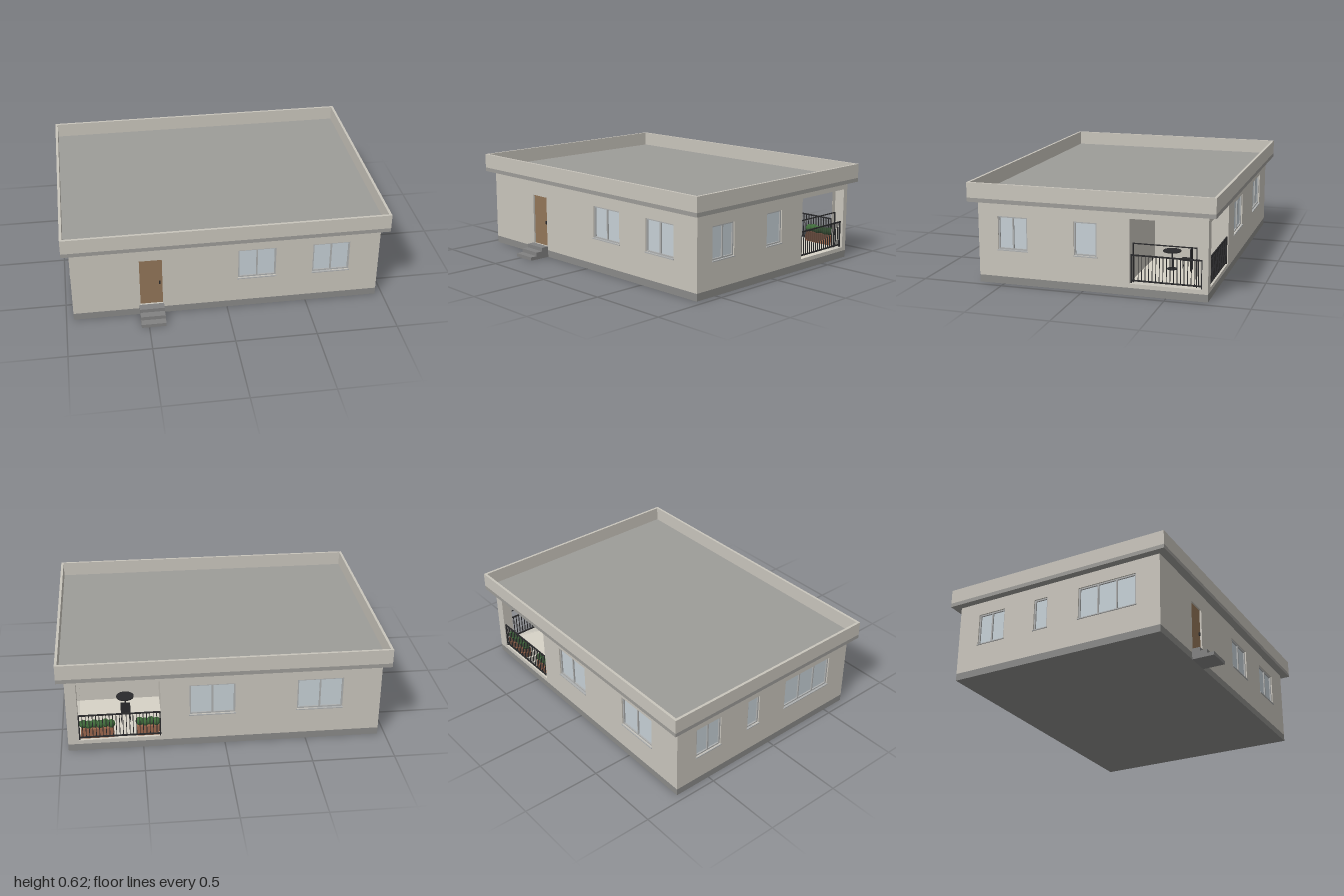
import * as THREE from 'three';

const material = (color) => new THREE.MeshStandardMaterial({ color });
const mats = {
  wall: material(0xc9c5bc), plinth: material(0x8a8a88), roof: material(0x9d9c98), frame: material(0xaeb0b0),
  glass: material(0xc6d0d6), door: material(0x927558), step: material(0x828282), metal: material(0x2a2a2c),
  floor: material(0xd6d2c6), pot: material(0x9c674c), plant: material(0x3f6b3a),
};

// Box given by its minimum and maximum corners
function box(parent, name, mat, [x0, y0, z0], [x1, y1, z1]) {
  const mesh = new THREE.Mesh(new THREE.BoxGeometry(x1 - x0, y1 - y0, z1 - z0), mats[mat]);
  mesh.position.set((x0 + x1) / 2, (y0 + y1) / 2, (z0 + z1) / 2);
  mesh.name = name;
  parent.add(mesh);
  return mesh;
}

// Rectangular plate with rectangular holes, front face at z = 0, going back by depth
function plate(parent, name, mat, [u0, u1, v0, v1], holes, depth) {
  const outline = (P, a, b, c, d) => {
    const p = new P();
    p.moveTo(a, c).lineTo(b, c).lineTo(b, d).lineTo(a, d).closePath();
    return p;
  };
  const shape = outline(THREE.Shape, u0, u1, v0, v1);
  shape.holes = holes.map(([a, b, c, d]) => outline(THREE.Path, a, b, c, d));
  const geometry = new THREE.ExtrudeGeometry(shape, { depth, bevelEnabled: false });
  const mesh = new THREE.Mesh(geometry.translate(0, 0, -depth), mats[mat]);
  mesh.name = name;
  parent.add(mesh);
  return mesh;
}

// Recessed window: frame with equal panes and a glass sheet behind it
function addWindow(wall, [u0, u1, v0, v1], panes) {
  const f = 0.009;
  const w = (u1 - u0 - f) / panes;
  const holes = [];
  for (let i = 0; i < panes; i++) holes.push([u0 + f + i * w, u0 + (i + 1) * w, v0 + f, v1 - f]);
  plate(wall, 'windowFrame', 'frame', [u0, u1, v0, v1], holes, 0.015).position.z = -0.008;
  box(wall, 'windowGlass', 'glass', [u0, v0, -0.024], [u1, v1, -0.017]);
  box(wall, 'windowSill', 'frame', [u0 - 0.004, v0 - 0.006, -0.01], [u1 + 0.004, v0, 0.006]);
}

const SILL = 0.212, HEAD = 0.415, BASE = 0.045, TOP = 0.5, THICK = 0.066;

// One outer wall with its windows [u0, u1, panes] and other openings
function addWall(parent, name, [u0, u1], windows, openings, position, angle) {
  const wall = new THREE.Group();
  wall.name = name;
  const rects = windows.map(([a, b]) => [a, b, SILL, HEAD]);
  plate(wall, name + 'Panel', 'wall', [u0, u1, BASE, TOP], [...rects, ...openings], THICK);
  windows.forEach((w, i) => addWindow(wall, rects[i], w[2]));
  wall.position.set(...position);
  wall.rotation.y = angle;
  parent.add(wall);
  return wall;
}

// Picket railing running along local x from 0 to length
function addRailing(parent, name, length, position, angle) {
  const railing = new THREE.Group();
  railing.name = name;
  const r = 0.004;
  for (const y of [0.085, 0.237]) box(railing, 'rail', 'metal', [0, y - r, -r], [length, y + r, r]);
  const count = Math.round(length / 0.021);
  for (let i = 0; i <= count; i++) {
    const x = (i / count) * (length - 0.01) + 0.005;
    const t = i % count ? 0.0022 : 0.004;
    box(railing, 'picket', 'metal', [x - t, i % count ? 0.085 : 0.07, -t], [x + t, 0.237, t]);
  }
  railing.position.set(...position);
  railing.rotation.y = angle;
  parent.add(railing);
}

export function createModel() {
  const house = new THREE.Group();
  house.name = 'house';
  const X = 0.955, ZB = -0.745, ZF = 0.655;

  // Plinth and outer walls; side walls run the full depth
  box(house, 'plinth', 'plinth', [-X, 0, ZB], [X, BASE, ZF]);
  const doorHole = [-0.54, -0.4, 0.07, 0.395];
  const inner = X - THICK;
  const front = addWall(house, 'frontWall', [-inner, inner], [[0.068, 0.305, 2], [0.535, 0.768, 2]],
    [doorHole], [0, 0, ZF], 0);
  addWall(house, 'leftWall', [-ZF, -ZB], [[-0.53, -0.345, 2], [-0.055, 0.085, 1]],
    [[0.283, 0.71, 0.07, 0.455]], [X, 0, 0], Math.PI / 2);
  addWall(house, 'backWall', [-inner, inner], [[-0.215, 0.062, 2], [0.44, 0.722, 2]],
    [[-inner + 0.001, -0.39, 0.07, 0.455]], [0, 0, ZB], Math.PI);
  addWall(house, 'rightWall', [ZB, ZF], [[-0.6, -0.41, 2], [-0.195, -0.1, 1], [0.116, 0.5, 3]],
    [], [-X, 0, 0], -Math.PI / 2);

  // Front door and steps
  box(front, 'door', 'door', [-0.54, 0.07, -0.03], [-0.4, 0.395, -0.012]);
  box(front, 'doorHandle', 'metal', [-0.422, 0.215, -0.012], [-0.412, 0.235, -0.004]);
  [[0.705, 0.07], [0.75, 0.046], [0.795, 0.022]].forEach(([z, y], i) =>
    box(house, 'step', 'step', [-0.547, 0, i ? ZF + 0.049 * i - 0.004 : ZF], [-0.395, y, z]));

  // Roof slab and hollow parapet
  box(house, 'roofSlab', 'roof', [-1, TOP, -0.795], [1, 0.525, 0.705]);
  const parapet = plate(house, 'parapet', 'wall', [-1, 1, -0.705, 0.795],
    [[-0.984, 0.984, -0.689, 0.779]], 0.092);
  parapet.rotation.x = -Math.PI / 2;
  parapet.position.y = 0.617;

  // Corner terrace: floor and inner walls
  const terrace = new THREE.Group();
  terrace.name = 'terrace';
  house.add(terrace);
  box(terrace, 'terraceFloor', 'floor', [0.36, BASE, ZB + 0.004], [X - 0.004, 0.07, -0.27]);
  box(terrace, 'terraceSideWall', 'wall', [0.33, BASE, ZB + THICK], [0.38, TOP, -0.23]);
  box(terrace, 'terraceFrontWall', 'wall', [0.38, BASE, -0.278], [inner, TOP, -0.23]);

  // Railings, with a raised handrail on the side
  addRailing(terrace, 'sideRailing', 0.427, [0.935, 0, -0.283], Math.PI / 2);
  addRailing(terrace, 'backRailing', 0.499, [0.39, 0, -0.735], 0);
  for (const z of [-0.295, -0.67])
    box(terrace, 'handrailPost', 'metal', [0.916, 0.07, z - 0.003], [0.922, 0.305, z + 0.003]);
  box(terrace, 'handrail', 'metal', [0.916, 0.3, -0.673], [0.922, 0.306, -0.292]);

  // Planters with leafy tops
  for (const [x0, x1] of [[0.675, 0.875], [0.4, 0.535]]) {
    box(terrace, 'planter', 'pot', [x0, 0.07, -0.727], [x1, 0.135, -0.682]);
    const count = Math.round((x1 - x0) / 0.034);
    for (let i = 0; i < count; i++) {
      const bush = new THREE.Mesh(new THREE.IcosahedronGeometry(0.026, 1), mats.plant);
      bush.name = 'plant';
      bush.position.set(x0 + ((i + 0.5) / count) * (x1 - x0), 0.155 + 0.006 * (i % 2), -0.705);
      terrace.add(bush);
    }
  }

  // Round table
  const tx = 0.6, tz = -0.445;
  for (const [name, radius, h, y] of [['tableTop', 0.055, 0.006, 0.185], ['tableStem', 0.005, 0.11, 0.13],
    ['tableFoot', 0.03, 0.005, 0.073]]) {
    const part = new THREE.Mesh(new THREE.CylinderGeometry(radius, radius, h, 24), mats.metal);
    part.name = name;
    part.position.set(tx, y, tz);
    terrace.add(part);
  }

  // Chair
  box(terrace, 'chairSeat', 'metal', [0.57, 0.137, -0.567], [0.63, 0.143, -0.503]);
  box(terrace, 'chairBack', 'metal', [0.57, 0.143, -0.567], [0.63, 0.21, -0.562]);
  for (const x of [0.57, 0.626])
    for (const z of [-0.567, -0.507])
      box(terrace, 'chairLeg', 'metal', [x, 0.07, z], [x + 0.004, 0.137, z + 0.004]);

  return house;
}
